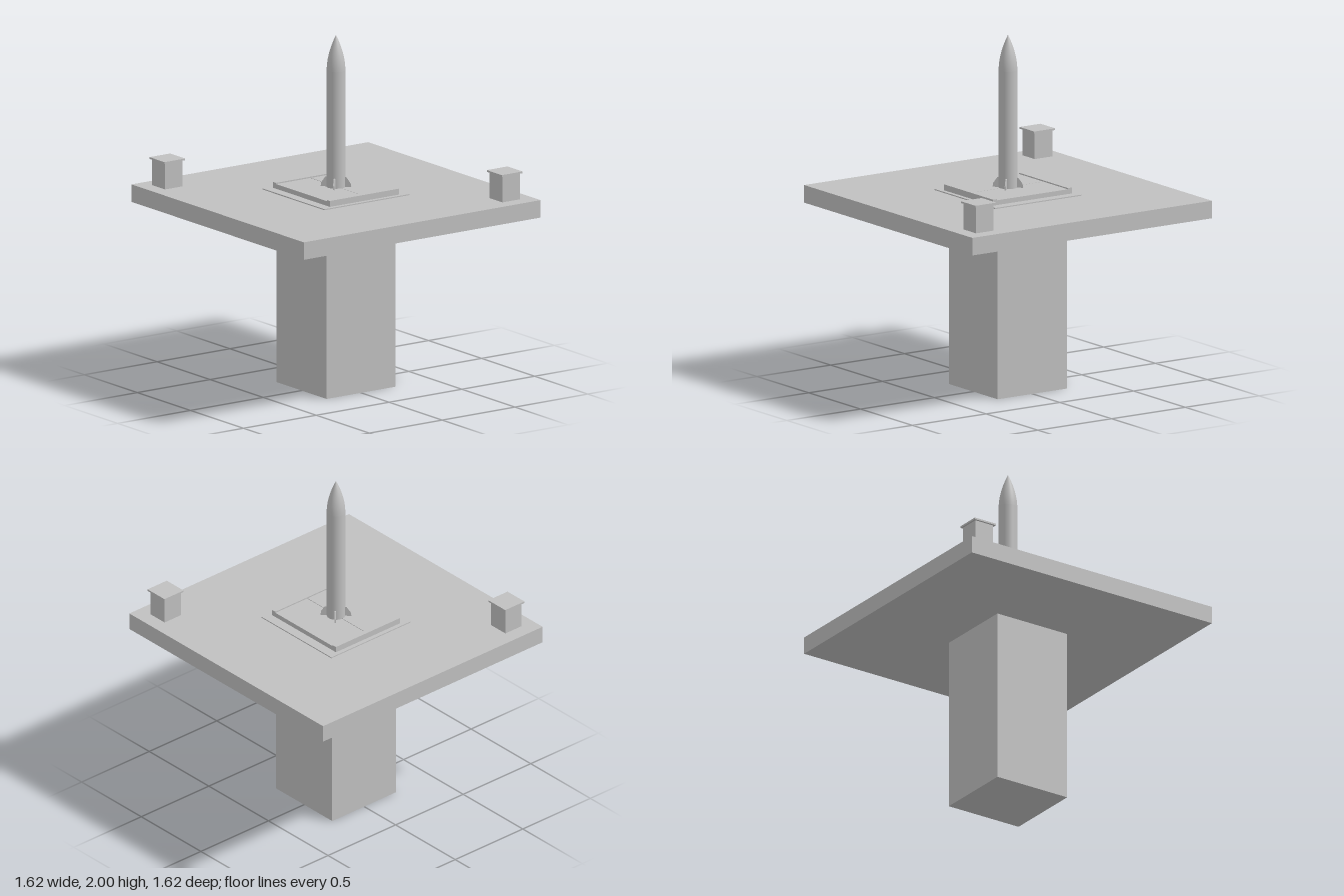
import * as THREE from 'three';

export function createModel() {
  const model = new THREE.Group();
  model.name = 'launchSilo';
  const grey = new THREE.MeshStandardMaterial({ color: 0xc0c0c0 });
  grey.name = 'concreteGrey';

  const add = (name, geometry, parent = model) => {
    const mesh = new THREE.Mesh(geometry, grey);
    mesh.name = name;
    parent.add(mesh);
    return mesh;
  };
  // box given by its bottom and top heights
  const box = (name, w, d, y0, y1, x = 0, z = 0, parent = model) =>
    add(name, new THREE.BoxGeometry(w, y1 - y0, d), parent).position.set(x, (y0 + y1) / 2, z);

  // shaft and ground slab
  box('shaft', 0.472, 0.472, 0, 1.0);
  box('groundSlab', 1.625, 1.625, 1.0, 1.1);

  // hatch: thin apron, two door leaves meeting at z = 0, and side rails
  box('apron', 0.585, 0.585, 1.1, 1.106);
  for (const s of [-1, 1]) {
    box('hatchDoor', 0.48, 0.235, 1.106, 1.133, 0, s * 0.119);
    box('hatchRail', 0.028, 0.474, 1.106, 1.14, s * 0.254, 0);
  }

  // guard huts on opposite corners
  for (const s of [-1, 1]) {
    const hut = new THREE.Group();
    hut.name = 'hut';
    box('hutWalls', 0.12, 0.12, 1.1, 1.25, 0, 0, hut);
    box('hutRoof', 0.142, 0.142, 1.25, 1.26, 0, 0, hut);
    hut.position.set(s * 0.67, 0, -s * 0.67);
    model.add(hut);
  }

  // rocket body with a smooth pointed nose
  const rocket = new THREE.Group();
  rocket.name = 'rocket';
  model.add(rocket);
  const r = 0.052;
  add('rocketBody', new THREE.CylinderGeometry(r, r, 0.667, 32, 1), rocket).position.y = 1.4665;
  const nose = [];
  for (let i = 0; i <= 12; i++) {
    const t = i / 12;
    nose.push(new THREE.Vector2(r * (1 - Math.pow(t, 1.9)), 1.8 + 0.2 * t));
  }
  add('rocketNose', new THREE.LatheGeometry(nose, 32), rocket);

  // four swept fins on the diagonals
  const finShape = new THREE.Shape([[0.045, 1.133], [0.086, 1.133], [0.083, 1.155], [0.06, 1.188], [0.045, 1.192]]
    .map(([x, y]) => new THREE.Vector2(x, y)));
  const finGeometry = new THREE.ExtrudeGeometry(finShape, { depth: 0.008, bevelEnabled: false });
  finGeometry.translate(0, 0, -0.004);
  for (let i = 0; i < 4; i++) {
    add('fin', finGeometry, rocket).rotation.y = Math.PI / 4 + i * Math.PI / 2;
  }
  return model;
}
